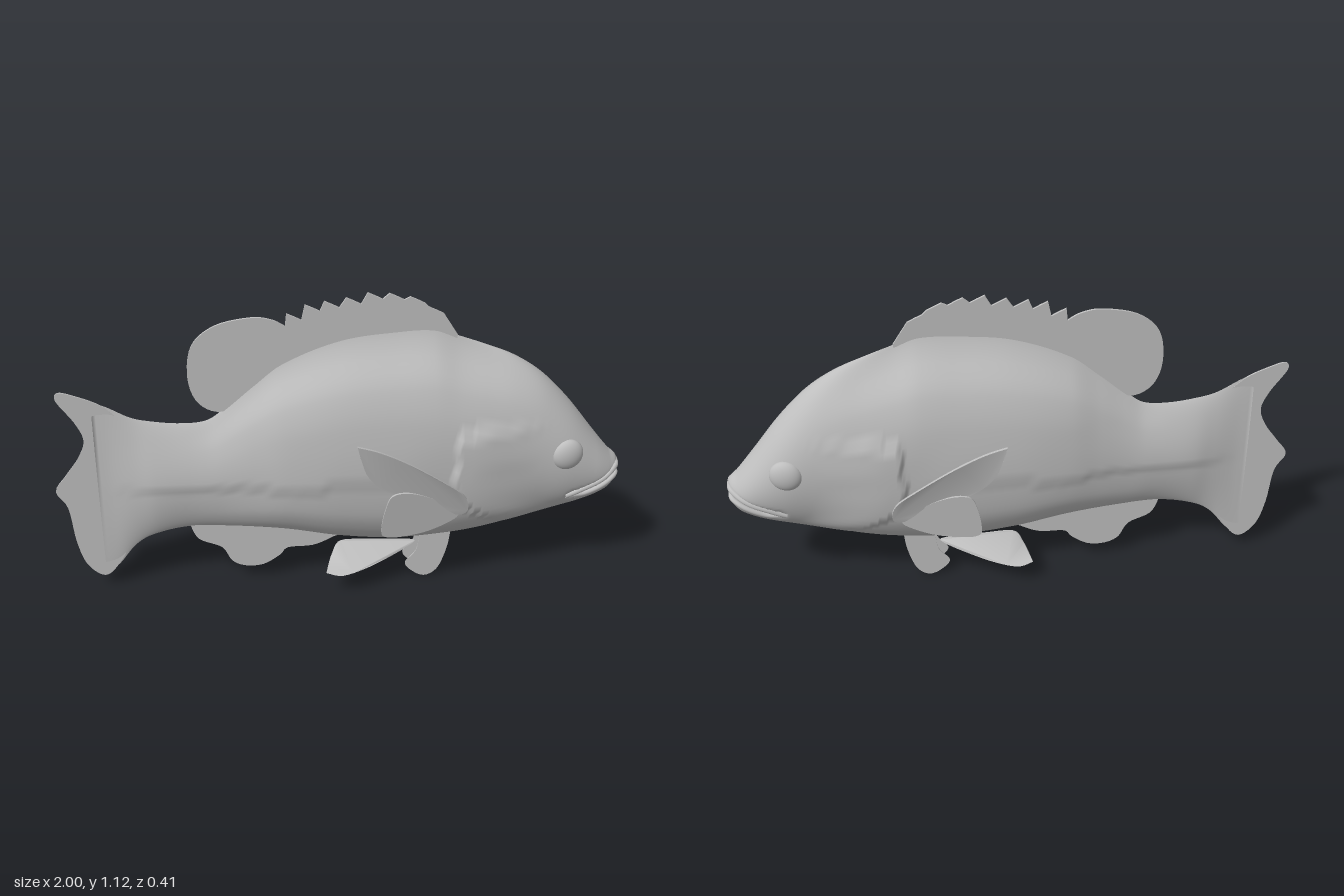
import * as THREE from 'three';
import { toCreasedNormals } from 'three/addons/utils/BufferGeometryUtils.js';

const smooth = THREE.MathUtils.smoothstep;

// Smooth curve through [x, y] pairs sorted by x
function curve(p) {
  const slope = (i) => {
    const a = p[Math.max(i - 1, 0)], b = p[Math.min(i + 1, p.length - 1)];
    return (b[1] - a[1]) / (b[0] - a[0]);
  };
  return (x) => {
    if (x <= p[0][0]) return p[0][1];
    if (x >= p[p.length - 1][0]) return p[p.length - 1][1];
    let i = 0;
    while (x > p[i + 1][0]) i++;
    const h = p[i + 1][0] - p[i][0], t = (x - p[i][0]) / h, s = 1 - t;
    return p[i][1] * (1 + 2 * t) * s * s + p[i + 1][1] * (3 - 2 * t) * t * t
      + h * t * s * (slope(i) * s - slope(i + 1) * t);
  };
}

// Body outline along its length
const top = curve([[-0.85, 0.755], [-0.8, 0.735], [-0.72, 0.69], [-0.65, 0.672], [-0.55, 0.66], [-0.46, 0.668],
  [-0.4, 0.71], [-0.3, 0.8], [-0.2, 0.88], [0, 0.96], [0.2, 0.985], [0.32, 0.985], [0.4, 0.953], [0.5, 0.915],
  [0.6, 0.87], [0.7, 0.8], [0.8, 0.695], [0.9, 0.565], [0.96, 0.49], [0.99, 0.462], [1, 0.44]]);
const bottom = curve([[-0.85, 0.055], [-0.8, 0.095], [-0.74, 0.17], [-0.68, 0.21], [-0.55, 0.24], [-0.4, 0.235],
  [-0.2, 0.215], [0, 0.175], [0.2, 0.155], [0.4, 0.168], [0.55, 0.195], [0.7, 0.24], [0.85, 0.28],
  [0.94, 0.318], [0.98, 0.352], [1, 0.4]]);
const width = curve([[-0.85, 0.009], [-0.8, 0.014], [-0.72, 0.03], [-0.65, 0.045], [-0.5, 0.058], [-0.4, 0.069],
  [-0.3, 0.087], [-0.2, 0.11], [-0.1, 0.124], [0, 0.131], [0.2, 0.136], [0.4, 0.138], [0.6, 0.13], [0.7, 0.125],
  [0.8, 0.118], [0.9, 0.097], [0.95, 0.077], [0.98, 0.053], [0.995, 0.028], [1, 0.004]]);
// Deep section that pinches up into the dorsal fin
const deepSection = curve([[0, 0], [0.02, 0.26], [0.06, 0.48], [0.11, 0.66], [0.18, 0.83], [0.3, 0.95], [0.43, 1],
  [0.55, 1], [0.67, 0.92], [0.79, 0.71], [0.85, 0.5], [0.91, 0.25], [0.96, 0.09], [1, 0]]);
const gillEdge = curve([[0.22, 0.6], [0.27, 0.53], [0.34, 0.43], [0.4, 0.4], [0.47, 0.38], [0.52, 0.4],
  [0.59, 0.39], [0.63, 0.405], [0.65, 0.46]]);
const flankLine = curve([[-0.85, 0.41], [-0.5, 0.42], [-0.3, 0.435], [-0.15, 0.42], [0, 0.455], [0.2, 0.46], [0.4, 0.42]]);
const mouthLine = curve([[0.8, 0.345], [0.86, 0.36], [0.92, 0.385], [1, 0.43]]);

// Half thickness of the body, with gill cover and flank relief
function halfWidth(x, t) {
  const y = bottom(x) + (top(x) - bottom(x)) * t;
  const deep = smooth(x, -0.6, -0.25) * (1 - smooth(x, 0.4, 0.72));
  const round = Math.pow(Math.max(0, 4 * t * (1 - t)), x > 0 ? 0.55 : 0.85);
  let z = width(x) * (deep * deepSection(t) + (1 - deep) * round);
  const edge = gillEdge(y);
  const gill = smooth(x, edge - 0.006, edge + 0.006) * (1 - smooth(x, edge + 0.05, edge + 0.3));
  z += 0.016 * gill * smooth(y, 0.2, 0.3) * (1 - smooth(y, 0.635, 0.655));
  const line = flankLine(x);
  z += 0.007 * smooth(y, line - 0.008, line + 0.008) * (1 - smooth(y, line, line + 0.2))
    * smooth(x, -0.85, -0.6) * (1 - smooth(x, 0.2, 0.38));
  return z;
}

// Body lofted from tail root to snout
function bodyGeometry() {
  const cols = 230, half = 38, ring = half * 2, pos = [], index = [];
  for (let i = 0; i <= cols; i++) {
    const x = -0.85 + 1.85 * (1 - Math.pow(1 - i / cols, 1.6));
    for (let j = 0; j < ring; j++) {
      const k = j <= half ? j : ring - j;
      const t = (1 - Math.cos(Math.PI * k / half)) / 2;
      const y = bottom(x) + (top(x) - bottom(x)) * t;
      const groove = x > 0.78 ? Math.exp(-(((y - mouthLine(x)) / 0.012) ** 2)) * smooth(x, 0.79, 0.84) : 0;
      const z = halfWidth(x, t) * (1 - 0.25 * groove);
      pos.push(x - 0.035 * groove * smooth(x, 0.9, 1), y, j <= half ? z : -z);
      if (i < cols) {
        const a = i * ring + j, b = i * ring + (j + 1) % ring;
        index.push(a, a + ring, b + ring, a, b + ring, b);
      }
    }
  }
  // Close the snout and the tail root
  for (const [row, flip] of [[0, true], [cols, false]]) {
    const o = row * ring;
    for (let j = 1; j < ring - 1; j++) index.push(o, o + (flip ? j + 1 : j), o + (flip ? j : j + 1));
  }
  const g = new THREE.BufferGeometry();
  g.setAttribute('position', new THREE.Float32BufferAttribute(pos, 3));
  g.setIndex(index);
  g.computeVertexNormals();
  return g;
}

// Thin fin from an outline; bend(x, y) gives its sideways position
function finGeometry(points, bend = () => 0, thick = 0.006, round = true) {
  let outline = points.map(([x, y]) => new THREE.Vector2(x, y));
  if (round) outline = new THREE.SplineCurve([...outline, outline[0]]).getPoints(points.length * 5).slice(0, -1);
  const g = new THREE.ExtrudeGeometry(new THREE.Shape(outline), { depth: thick, bevelEnabled: false });
  const p = g.attributes.position;
  for (let i = 0; i < p.count; i++) p.setZ(i, p.getZ(i) - thick / 2 + bend(p.getX(i), p.getY(i)));
  return toCreasedNormals(g, 0.7);
}

export function createModel() {
  const fish = new THREE.Group();
  fish.name = 'fish';
  const skin = new THREE.MeshStandardMaterial({ color: 0xbebebe, side: THREE.DoubleSide });
  skin.name = 'grey skin';
  const add = (name, geometry, parent = fish) => {
    const mesh = new THREE.Mesh(geometry, skin);
    mesh.name = name;
    parent.add(mesh);
    return mesh;
  };

  add('body', bodyGeometry());

  // Fins on the centre line
  add('tailFin', finGeometry([[-0.76, 0.69], [-0.82, 0.743], [-0.9, 0.78], [-0.955, 0.795], [-0.965, 0.765],
    [-0.91, 0.68], [-0.885, 0.61], [-0.91, 0.54], [-0.96, 0.47], [-0.998, 0.41], [-0.962, 0.34], [-0.945, 0.2],
    [-0.915, 0.1], [-0.855, 0.05], [-0.8, 0.1], [-0.76, 0.19], [-0.72, 0.42]]));

  const softRay = new THREE.SplineCurve([[-0.3, 0.76], [-0.405, 0.7], [-0.485, 0.735], [-0.518, 0.83], [-0.5, 0.95],
    [-0.42, 1.02], [-0.3, 1.045], [-0.23, 1.035], [-0.185, 1.01]].map((p) => new THREE.Vector2(...p)))
    .getPoints(40).map((p) => [p.x, p.y]);
  const spines = [[-0.18, 1.055], [-0.118, 1.085], [-0.053, 1.095], [0.02, 1.105], [0.092, 1.12], [0.165, 1.115],
    [0.235, 1.1], [0.3, 1.06]];
  const spiny = spines.flatMap(([x, y]) => [[x, y], [x + 0.025, y - 0.012], [x + 0.05, y - 0.025]]);
  add('dorsalFin', finGeometry([...softRay, ...spiny, [0.4, 0.955], [0.38, 0.85], [0, 0.85]], undefined, 0.008, false));

  add('analFin', finGeometry([[-0.54, 0.25], [-0.51, 0.185], [-0.43, 0.145], [-0.395, 0.085], [-0.345, 0.06],
    [-0.28, 0.063], [-0.22, 0.1], [-0.19, 0.13], [-0.1, 0.135], [-0.03, 0.165], [0.02, 0.2], [-0.2, 0.26]]));

  // Paired parts, mirrored across the centre plane
  for (const [side, s] of [['right', 1], ['left', -1]]) {
    const half = new THREE.Group();
    half.name = side === 'right' ? 'rightSideParts' : 'leftSideParts';
    half.scale.z = s;
    fish.add(half);

    const eye = add('eye', new THREE.SphereGeometry(1, 32, 20), half);
    eye.scale.set(0.058, 0.058, 0.03);
    eye.position.set(0.787, 0.527, 0.106);
    eye.rotation.y = 0.15;

    add('upperPectoralFin', finGeometry([[0.04, 0.648], [0.12, 0.62], [0.22, 0.565], [0.34, 0.48], [0.42, 0.41],
      [0.435, 0.34], [0.39, 0.325], [0.27, 0.38], [0.14, 0.455], [0.08, 0.52], [0.055, 0.59]],
    (x, y) => { const q = (y - 0.34) / 0.31; return 0.142 + 0.06 * q * (1.5 - 0.5 * q); }, 0.01), half);

    add('lowerPectoralFin', finGeometry([[0.41, 0.335], [0.32, 0.4], [0.23, 0.44], [0.165, 0.438], [0.14, 0.38],
      [0.128, 0.3], [0.14, 0.267], [0.2, 0.257], [0.3, 0.268], [0.39, 0.305]],
    (x, y) => 0.138 + 0.15 * (0.4 - x) + 0.1 * (y - 0.33), 0.008), half);

    add('rearPelvicFin', finGeometry([[-0.06, 0.092], [-0.035, 0.13], [0, 0.165], [0.1, 0.165], [0.25, 0.158],
      [0.26, 0.148], [0.2, 0.125], [0.1, 0.1], [0, 0.086]],
    (x, y) => 0.03 + 12 * Math.max(0, 0.165 - y) ** 2 + 0.4 * (0.165 - y), 0.006), half);

    add('frontPelvicFin', finGeometry([[0.4, 0.21], [0.39, 0.13], [0.365, 0.05], [0.34, 0.015], [0.305, 0.001],
      [0.265, 0.02], [0.235, 0.06], [0.275, 0.115], [0.3, 0.21]], () => 0.037, 0.004), half);

    // Lips follow the mouth along the surface of the head
    for (const [name, lift, end, r] of [['upperLip', 0.016, 0.985, 0.011], ['lowerLip', -0.018, 0.985, 0.01]]) {
      const path = [];
      for (let i = 0; i <= 9; i++) {
        const x = 0.8 + (end - 0.8) * i / 9, y = mouthLine(x) + lift * smooth(x, 0.79, 0.88);
        path.push(new THREE.Vector3(x, y, halfWidth(x, (y - bottom(x)) / (top(x) - bottom(x))) - 0.005));
      }
      path.push(new THREE.Vector3(0.99, mouthLine(0.99) + lift, 0));
      add(name, new THREE.TubeGeometry(new THREE.CatmullRomCurve3(path), 40, r, 10), half);
    }
  }
  return fish;
}
